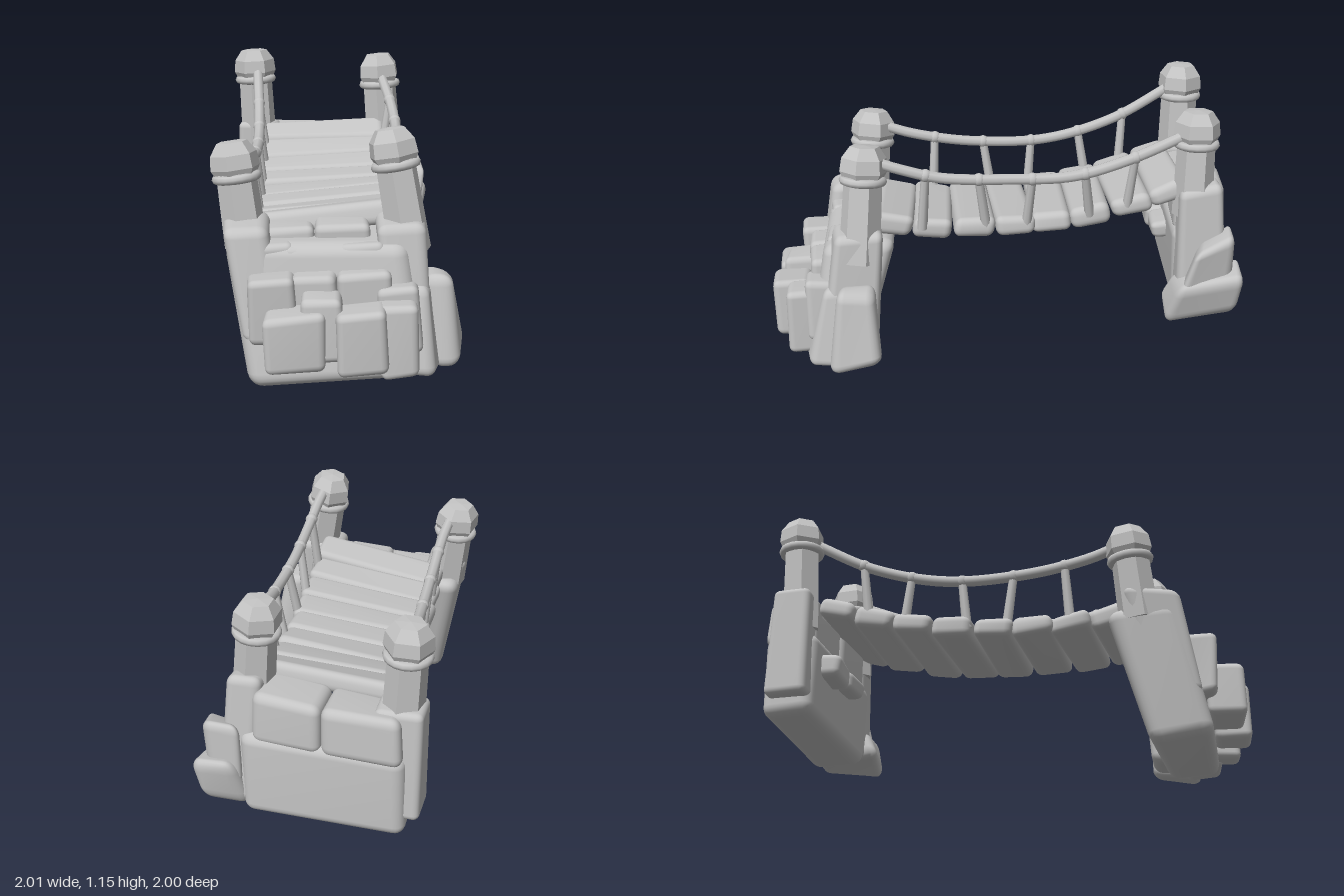
import * as THREE from 'three';
import { mergeVertices } from 'three/addons/utils/BufferGeometryUtils.js';
import { RoundedBoxGeometry } from 'three/addons/geometries/RoundedBoxGeometry.js';

const V = (p) => new THREE.Vector3(...p);

export function createModel() {
  const model = new THREE.Group();
  model.name = 'stoneFootbridge';
  const stoneGrey = new THREE.MeshStandardMaterial({ color: 0xc4c4c4 });
  stoneGrey.name = 'stone grey';

  let seed = 7;
  const rand = () => {
    seed = (seed * 16807) % 2147483647;
    return seed / 2147483647 - 0.5;
  };

  const add = (name, geometry, parent = model) => {
    const mesh = new THREE.Mesh(geometry, stoneGrey);
    mesh.name = name;
    parent.add(mesh);
    return mesh;
  };
  const faceted = (g) => {
    const flat = g.toNonIndexed();
    flat.computeVertexNormals();
    return flat;
  };

  // Rounded block stretched between eight corners.
  // Corner order, bottom then top: back-left, back-right, front-left, front-right.
  function block(name, corners, radius = 0.04) {
    const c = corners.map(V);
    const w = c[0].distanceTo(c[1]);
    const h = c[0].distanceTo(c[4]);
    const d = c[0].distanceTo(c[2]);
    let g = new RoundedBoxGeometry(w, h, d, 3, Math.min(radius, w * 0.45, h * 0.45, d * 0.45));
    g.deleteAttribute('normal');
    g.deleteAttribute('uv');
    g.clearGroups();
    g = mergeVertices(g, 1e-5);
    const pos = g.attributes.position;
    for (let i = 0; i < pos.count; i++) {
      const f = [pos.getX(i) / w + 0.5, pos.getY(i) / h + 0.5, pos.getZ(i) / d + 0.5];
      const p = new THREE.Vector3();
      c.forEach((corner, k) => {
        const a = k & 1 ? f[0] : 1 - f[0];
        const b = k & 4 ? f[1] : 1 - f[1];
        const e = k & 2 ? f[2] : 1 - f[2];
        p.addScaledVector(corner, a * b * e);
      });
      pos.setXYZ(i, p.x, p.y, p.z);
    }
    g.computeVertexNormals();
    return add(name, g);
  }

  // Slightly irregular stone from centre, size and rotation.
  function stone(name, centre, size, yaw = 0.72, tilt = [0, 0], jitter = 0.025, radius = 0.03) {
    const m = new THREE.Matrix4().makeRotationFromEuler(new THREE.Euler(tilt[0], yaw, tilt[1], 'YXZ'));
    const corners = [];
    for (let k = 0; k < 8; k++) {
      const p = new THREE.Vector3(
        (k & 1 ? 0.5 : -0.5) * size[0] + rand() * jitter,
        (k & 4 ? 0.5 : -0.5) * size[1] + rand() * jitter,
        (k & 2 ? 0.5 : -0.5) * size[2] + rand() * jitter
      ).applyMatrix4(m).add(V(centre));
      corners.push(p.toArray());
    }
    return block(name, corners, radius);
  }

  // Lower abutment: leaning wall with two shoulders carrying the posts
  block('lowerAbutment', [
    [-0.96, 0.02, 0.43], [-0.76, -0.02, 0.24], [-0.49, 0.08, 0.97], [-0.27, 0.09, 0.86],
    [-0.94, 0.6, 0.26], [-0.7, 0.59, 0.05], [-0.47, 0.62, 0.85], [-0.22, 0.64, 0.65]
  ], 0.06);
  block('lowerShoulderFar', [
    [-0.95, 0.2, 0.39], [-0.78, 0.2, 0.23], [-0.82, 0.2, 0.5], [-0.65, 0.2, 0.37],
    [-0.95, 0.66, 0.27], [-0.78, 0.69, 0.08], [-0.82, 0.67, 0.4], [-0.63, 0.69, 0.21]
  ]);
  block('lowerShoulderNear', [
    [-0.56, 0.1, 0.83], [-0.36, 0.12, 0.64], [-0.42, 0.1, 0.96], [-0.23, 0.12, 0.79],
    [-0.52, 0.68, 0.73], [-0.37, 0.7, 0.58], [-0.38, 0.69, 0.87], [-0.22, 0.7, 0.73]
  ]);
  block('lowerFootStone', [
    [-0.4, 0.08, 0.93], [-0.23, 0.1, 0.78], [-0.32, 0.08, 1.02], [-0.12, 0.15, 0.88],
    [-0.38, 0.47, 0.86], [-0.26, 0.48, 0.75], [-0.31, 0.48, 0.96], [-0.19, 0.45, 0.85]
  ], 0.05);
  block('lowerFootStone', [
    [-0.58, 0.1, 0.9], [-0.42, 0.1, 0.78], [-0.46, 0.08, 1.0], [-0.31, 0.08, 0.92],
    [-0.5, 0.44, 0.82], [-0.38, 0.46, 0.74], [-0.42, 0.44, 0.92], [-0.32, 0.46, 0.85]
  ]);

  // Stairs climbing to the lower end of the deck: [x, top, z, width, height, length]
  const stairStones = [
    [-0.64, 0.65, 0.35, 0.16, 0.24, 0.2], [-0.5, 0.67, 0.52, 0.16, 0.24, 0.24],
    [-0.77, 0.6, 0.37, 0.14, 0.28, 0.2], [-0.65, 0.6, 0.49, 0.15, 0.28, 0.2], [-0.52, 0.61, 0.66, 0.15, 0.28, 0.2],
    [-0.85, 0.49, 0.47, 0.15, 0.28, 0.2], [-0.72, 0.5, 0.58, 0.15, 0.28, 0.18], [-0.58, 0.52, 0.72, 0.15, 0.28, 0.22],
    [-0.77, 0.45, 0.67, 0.16, 0.28, 0.18], [-0.5, 0.46, 0.84, 0.14, 0.28, 0.16],
    [-0.87, 0.38, 0.61, 0.16, 0.23, 0.24], [-0.71, 0.4, 0.82, 0.16, 0.26, 0.2], [-0.57, 0.42, 0.89, 0.16, 0.31, 0.16]
  ];
  stairStones.forEach(([x, top, z, w, h, d]) =>
    stone('stairStone', [x, top - h / 2, z], [w, h, d], 0.74, [-0.06, 0]));

  // Upper abutment: wall, capping stones, shoulders and rubble
  block('upperAbutment', [
    [0.24, 0.19, -0.84], [0.41, 0.18, -0.99], [0.66, 0.18, -0.28], [0.86, 0.18, -0.44],
    [0.23, 0.58, -0.84], [0.42, 0.57, -0.99], [0.66, 0.58, -0.26], [0.86, 0.57, -0.42]
  ], 0.05);
  block('cappingStone', [
    [0.25, 0.53, -0.83], [0.43, 0.53, -0.99], [0.46, 0.53, -0.56], [0.64, 0.53, -0.71],
    [0.27, 0.73, -0.83], [0.43, 0.76, -0.97], [0.46, 0.75, -0.56], [0.64, 0.76, -0.71]
  ]);
  block('cappingStone', [
    [0.46, 0.53, -0.56], [0.64, 0.53, -0.71], [0.63, 0.53, -0.32], [0.82, 0.53, -0.46],
    [0.46, 0.75, -0.56], [0.64, 0.76, -0.71], [0.63, 0.77, -0.32], [0.81, 0.77, -0.46]
  ]);
  stone('upperShoulderFar', [0.34, 0.52, -0.87], [0.19, 0.5, 0.19], 0.68);
  block('upperShoulderNear', [
    [0.63, 0.22, -0.32], [0.83, 0.22, -0.46], [0.73, 0.22, -0.2], [0.92, 0.24, -0.34],
    [0.62, 0.79, -0.35], [0.76, 0.82, -0.46], [0.71, 0.79, -0.22], [0.86, 0.82, -0.35]
  ]);
  block('upperRubbleStone', [
    [0.71, 0.33, -0.28], [0.86, 0.3, -0.45], [0.78, 0.33, -0.13], [0.95, 0.36, -0.31],
    [0.78, 0.54, -0.3], [0.86, 0.62, -0.44], [0.84, 0.54, -0.15], [0.96, 0.61, -0.3]
  ]);
  block('upperRubbleStone', [
    [0.6, 0.25, -0.25], [0.82, 0.19, -0.45], [0.69, 0.14, -0.14], [0.99, 0.23, -0.31],
    [0.66, 0.37, -0.28], [0.92, 0.46, -0.45], [0.79, 0.38, -0.11], [1.03, 0.43, -0.29]
  ]);
  stone('innerLedgeStone', [0.34, 0.45, -0.69], [0.16, 0.11, 0.18], 0.68);
  stone('innerLedgeStone', [0.46, 0.46, -0.54], [0.15, 0.09, 0.18], 0.68);

  // Sagging deck of thick planks, rolled a little towards one side
  const deckY = (s) => 0.608 + 0.19 * (s + 0.15) ** 2;
  for (let i = 0; i < 8; i++) {
    const s = -0.59 + 0.179 * i;
    stone('deckPlank', [0.71 * s - 0.04, deckY(s), -0.7 * s - 0.04], [0.182, 0.093, 0.63],
      0.68 + rand() * 0.06, [-0.14 + 0.012 * i, Math.atan(0.38 * (s + 0.15))], 0.02, 0.035);
  }

  // Six-sided posts with a ring collar and faceted cap
  const capProfile = [[0.088, 0], [0.106, 0.035], [0.1, 0.095], [0.065, 0.145], [0, 0.15]]
    .map((p) => new THREE.Vector2(...p));
  const posts = [
    [[-0.76, 0.55, 0.21], [-0.77, 0.99, 0.14]],
    [[-0.345, 0.55, 0.76], [-0.37, 1.06, 0.66]],
    [[0.33, 0.6, -0.86], [0.32, 1.15, -0.89]],
    [[0.715, 0.65, -0.33], [0.7, 1.14, -0.37]]
  ];
  posts.forEach(([base, top], i) => {
    const post = new THREE.Group();
    post.name = 'post';
    const axis = V(top).sub(V(base));
    const length = axis.length();
    post.position.copy(V(base));
    post.quaternion.setFromUnitVectors(new THREE.Vector3(0, 1, 0), axis.normalize());
    const shaft = new THREE.CylinderGeometry(0.085, 0.092, length - 0.12, 6);
    add('postShaft', faceted(shaft), post).position.y = (length - 0.12) / 2;
    const collar = add('postCollar', new THREE.TorusGeometry(0.085, 0.02, 8, 18), post);
    collar.rotation.x = Math.PI / 2;
    collar.position.y = length - 0.155;
    const cap = add('postCap', faceted(new THREE.LatheGeometry(capProfile, 6)), post);
    cap.position.y = length - 0.15;
    cap.rotation.y = 0.4 * i;
    model.add(post);
  });

  // Rope rails with leaning balusters down to the deck edge
  const rails = [
    { pts: [[-0.71, 0.92, 0.14], [-0.6, 0.88, 0.06], [-0.4, 0.83, -0.12], [-0.13, 0.82, -0.38], [0.1, 0.9, -0.62], [0.3, 1.05, -0.84]], t: -0.34, drop: -0.03 },
    { pts: [[-0.34, 1.0, 0.67], [-0.24, 0.96, 0.6], [-0.1, 0.91, 0.48], [0.12, 0.885, 0.27], [0.33, 0.885, 0.08], [0.5, 0.94, -0.1], [0.69, 1.04, -0.34]], t: 0.24, drop: 0.03 }
  ];
  rails.forEach(({ pts, t, drop }) => {
    const curve = new THREE.CatmullRomCurve3(pts.map(V));
    add('ropeRail', new THREE.TubeGeometry(curve, 40, 0.025, 8));
    for (let i = 0; i < 5; i++) {
      const top = curve.getPointAt(0.17 + 0.16 * i);
      const s = 0.71 * top.x - 0.7 * top.z + (i % 2 ? 0.035 : -0.02);
      const foot = V([0.71 * s + 0.7 * t, deckY(s) + drop, -0.7 * s + 0.71 * t]);
      const axis = top.clone().sub(foot);
      const baluster = add('baluster', new THREE.CylinderGeometry(0.019, 0.023, axis.length(), 8));
      baluster.position.copy(top).add(foot).multiplyScalar(0.5);
      baluster.quaternion.setFromUnitVectors(new THREE.Vector3(0, 1, 0), axis.normalize());
      // Knot where the baluster meets the rope
      add('ropeKnot', new THREE.SphereGeometry(0.029, 10, 8)).position.copy(top);
    }
  });

  return model;
}
